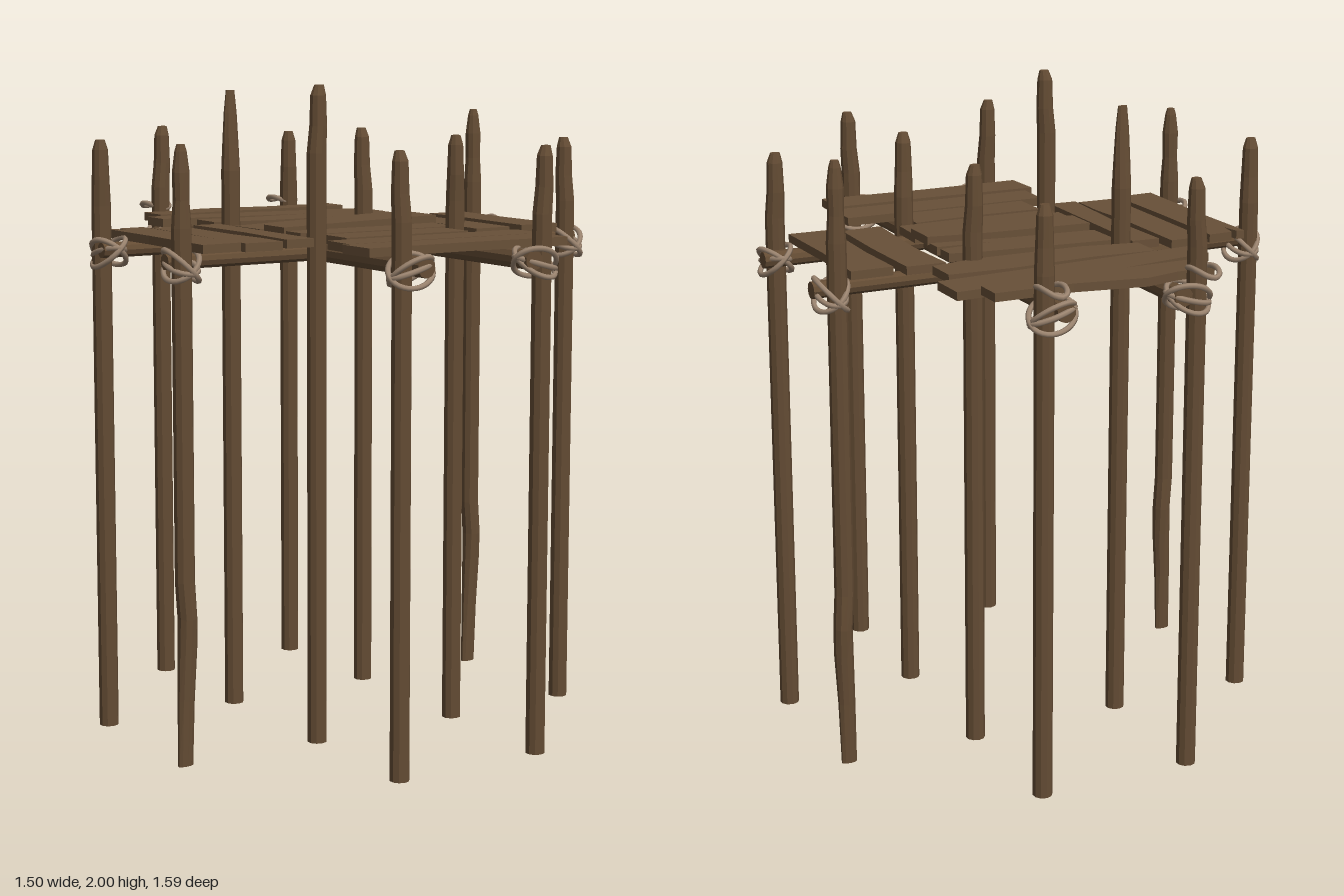
import * as THREE from 'three';

const wood = new THREE.MeshStandardMaterial({ color: 0x644c34, flatShading: true });
const plankWood = new THREE.MeshStandardMaterial({ color: 0x685038, flatShading: true });
const ropeMat = new THREE.MeshStandardMaterial({ color: 0x9c8570 });

function add(parent, name, geometry, material) {
  const mesh = new THREE.Mesh(geometry, material);
  mesh.name = name;
  parent.add(mesh);
  return mesh;
}

// Carved pole from stacked sections, bottom to top: [y, rx, rz, dx, dz]
function poleGeometry(sections) {
  const k = sections.length - 1;
  const g = new THREE.CylinderGeometry(1, 1, 1, 10, k);
  const p = g.attributes.position;
  for (let i = 0; i < p.count; i++) {
    const [y, rx, rz, dx = 0, dz = 0] = sections[Math.round((p.getY(i) + 0.5) * k)];
    p.setXYZ(i, p.getX(i) * rx + dx, y, p.getZ(i) * rz + dz);
  }
  g.computeVertexNormals();
  return g;
}

// Ordinary post with a whittled tip leaning slightly by angle a
function postSections(h, a) {
  const dx = Math.cos(a) * 0.006, dz = Math.sin(a) * 0.006;
  return [
    [0, 0.03, 0.03], [h - 0.2, 0.03, 0.03], [h - 0.12, 0.027, 0.028, dx, dz],
    [h - 0.03, 0.024, 0.024, dx, dz], [h, 0.015, 0.013, dx * 1.5, dz * 1.5],
  ];
}

// Post with a chiselled, bulging foot
function chiselledSections(h, side) {
  return [
    [0, 0.025, 0.012, -0.004 * side], [0.2, 0.027, 0.02, 0],
    [0.36, 0.03, 0.028, 0.006 * side], [0.45, 0.029, 0.033, 0.007 * side],
    [0.56, 0.03, 0.03], [h - 0.24, 0.03, 0.03], [h - 0.16, 0.024, 0.026],
    [h - 0.08, 0.026, 0.025], [h - 0.02, 0.018, 0.018], [h, 0.012, 0.012],
  ];
}

// Post with a thin blade-like tip
const bladeSections = [
  [0, 0.03, 0.03], [1.72, 0.03, 0.03], [1.8, 0.027, 0.022],
  [1.9, 0.022, 0.014], [1.97, 0.015, 0.007],
];

// Flat board from its outline in x and z, with its upper face at y
function plank(parent, name, outline, y, roll = 0, thick = 0.026) {
  const shape = new THREE.Shape(outline.map(([x, z]) => new THREE.Vector2(x, z)));
  const g = new THREE.ExtrudeGeometry(shape, { depth: thick, bevelEnabled: false });
  g.rotateX(Math.PI / 2);
  const mesh = add(parent, name, g, plankWood);
  mesh.position.y = y;
  mesh.rotation.z = roll;
}

function ropeLoop(parent, name, pointAt) {
  const pts = [];
  for (let i = 0; i < 12; i++) pts.push(pointAt((i / 12) * Math.PI * 2));
  const curve = new THREE.CatmullRomCurve3(pts, true);
  add(parent, name, new THREE.TubeGeometry(curve, 32, 0.0085, 6, true), ropeMat);
}

// Crossed loops binding a post to the beam beside it
function lashing(parent, x, z, bx, bz) {
  const tie = new THREE.Group();
  tie.name = 'ropeLashing';
  tie.position.set((x + bx) / 2, 1.49, (z + bz) / 2);
  const u = new THREE.Vector3(bx - x, 0, bz - z).normalize();
  const v = new THREE.Vector3(u.z, 0, -u.x);
  for (const [ru, rv, lift, phase] of [[0.072, 0.043, 0.045, 0.3], [0.066, 0.047, -0.042, -0.4], [0.07, 0.04, 0.02, 1.8]]) {
    ropeLoop(tie, 'ropeLoop', (t) => new THREE.Vector3()
      .addScaledVector(u, ru * Math.cos(t)).addScaledVector(v, rv * Math.sin(t))
      .setY(lift * Math.sin(t + phase)));
  }
  parent.add(tie);
}

export function createModel() {
  const model = new THREE.Group();
  model.name = 'plankPlatform';

  // Upright posts
  const posts = [
    [-0.25, -0.67, 1.84], [0.245, -0.67, 1.81], [0.255, -0.22, 1.84],
    [-0.25, 0.295, 2.0], [0.25, 0.3, 1.84], [-0.25, 0.745, 1.83], [0.245, 0.745, 1.83],
    [-0.705, -0.21, 1.83], [0.685, 0.29, 1.82],
  ];
  posts.forEach(([x, z, h], i) => {
    add(model, 'post', poleGeometry(postSections(h, i * 2.1)), wood).position.set(x, 0, z);
  });
  add(model, 'bladePost', poleGeometry(bladeSections), wood).position.set(-0.25, 0, -0.21);
  add(model, 'chiselledPost', poleGeometry(chiselledSections(1.84, 1)), wood).position.set(-0.705, 0, 0.29);
  add(model, 'chiselledPost', poleGeometry(chiselledSections(1.89, 1)), wood).position.set(0.685, 0, -0.21);

  // Horizontal beams crossing under the deck
  for (const x of [-0.19, 0.19]) {
    const beam = add(model, 'longBeam', new THREE.CylinderGeometry(0.03, 0.03, 1.485, 10), wood);
    beam.rotation.x = Math.PI / 2;
    beam.position.set(x, 1.5, 0.04);
  }
  for (const z of [-0.155, 0.243]) {
    const beam = add(model, 'crossBeam', new THREE.CylinderGeometry(0.024, 0.026, 1.48, 10), wood);
    beam.rotation.z = Math.PI / 2;
    beam.position.set(0.005, 1.5, z);
  }

  // Deck planks running across, from back to front: outline, height, roll
  const across = [
    [[[-0.325, -0.645], [-0.2, -0.645], [-0.09, -0.67], [0.13, -0.632], [0.38, -0.63], [0.38, -0.54], [-0.325, -0.535]], 1.562, 0],
    [[[-0.395, -0.49], [-0.06, -0.525], [0.45, -0.53], [0.45, -0.395], [-0.395, -0.39]], 1.556, -0.015],
    [[[-0.28, -0.375], [-0.08, -0.36], [0.2, -0.375], [0.4, -0.365], [0.4, -0.25], [0.25, -0.225], [-0.1, -0.23], [-0.28, -0.265]], 1.556, 0],
    [[[-0.255, -0.178], [0.25, -0.185], [0.31, -0.172], [0.31, -0.112], [0.12, -0.078], [0.31, -0.086], [0.31, -0.03], [0.05, -0.042], [-0.25, -0.035]], 1.557, 0.03],
    [[[-0.25, -0.008], [0.1, -0.018], [0.305, -0.005], [0.305, 0.12], [-0.1, 0.108], [-0.25, 0.11]], 1.572, 0.025],
    [[[-0.25, 0.122], [0.1, 0.132], [0.29, 0.122], [0.285, 0.255], [0, 0.258], [-0.24, 0.25], [-0.24, 0.222], [-0.18, 0.217], [-0.25, 0.205]], 1.556, 0],
    [[[-0.215, 0.272], [0, 0.282], [0.22, 0.27], [0.22, 0.41], [0, 0.403], [-0.215, 0.405]], 1.556, 0],
    [[[-0.295, 0.425], [0.385, 0.432], [0.385, 0.565], [0, 0.552], [-0.3, 0.548]], 1.554, 0],
    [[[-0.335, 0.568], [0, 0.582], [0.365, 0.585], [0.36, 0.718], [0, 0.7], [-0.33, 0.7]], 1.556, 0],
  ];
  for (const [outline, y, roll] of across) plank(model, 'acrossPlank', outline, y, roll);

  // Side wing planks running front to back
  const wings = [
    [[-0.66, -0.26], [-0.635, -0.255], [-0.625, -0.2], [-0.615, -0.26], [-0.535, -0.262], [-0.535, 0.05], [-0.53, 0.33], [-0.66, 0.335], [-0.655, 0]],
    [[-0.51, -0.262], [-0.4, -0.262], [-0.4, 0.05], [-0.385, 0.2], [-0.388, 0.33], [-0.512, 0.325]],
    [[-0.37, -0.235], [-0.28, -0.23], [-0.285, 0.335], [-0.375, 0.33], [-0.36, 0.05]],
    [[0.335, -0.205], [0.46, -0.2], [0.465, 0.05], [0.46, 0.3], [0.328, 0.305], [0.345, 0]],
    [[0.5, -0.195], [0.635, -0.195], [0.625, 0.05], [0.63, 0.32], [0.495, 0.315], [0.505, 0]],
  ];
  wings.forEach((outline, i) => plank(model, 'wingPlank', outline, 1.553 - (i % 2) * 0.004));

  // Rope lashings on the outer posts
  for (const s of [-1, 1]) {
    for (const z of [-0.67, 0.745]) lashing(model, s * 0.25, z, s * 0.19, z);
    lashing(model, s * 0.695, -0.21, s * 0.695, -0.155);
    lashing(model, s * 0.695, 0.295, s * 0.695, 0.243);
    // Open loops sticking out behind the back posts
    ropeLoop(model, 'backRopeLoop', (t) => new THREE.Vector3(
      s * 0.245 + 0.036 * Math.cos(t), 1.578 + 0.008 * Math.cos(2 * t), -0.715 + 0.066 * Math.sin(t)));
  }
  return model;
}
